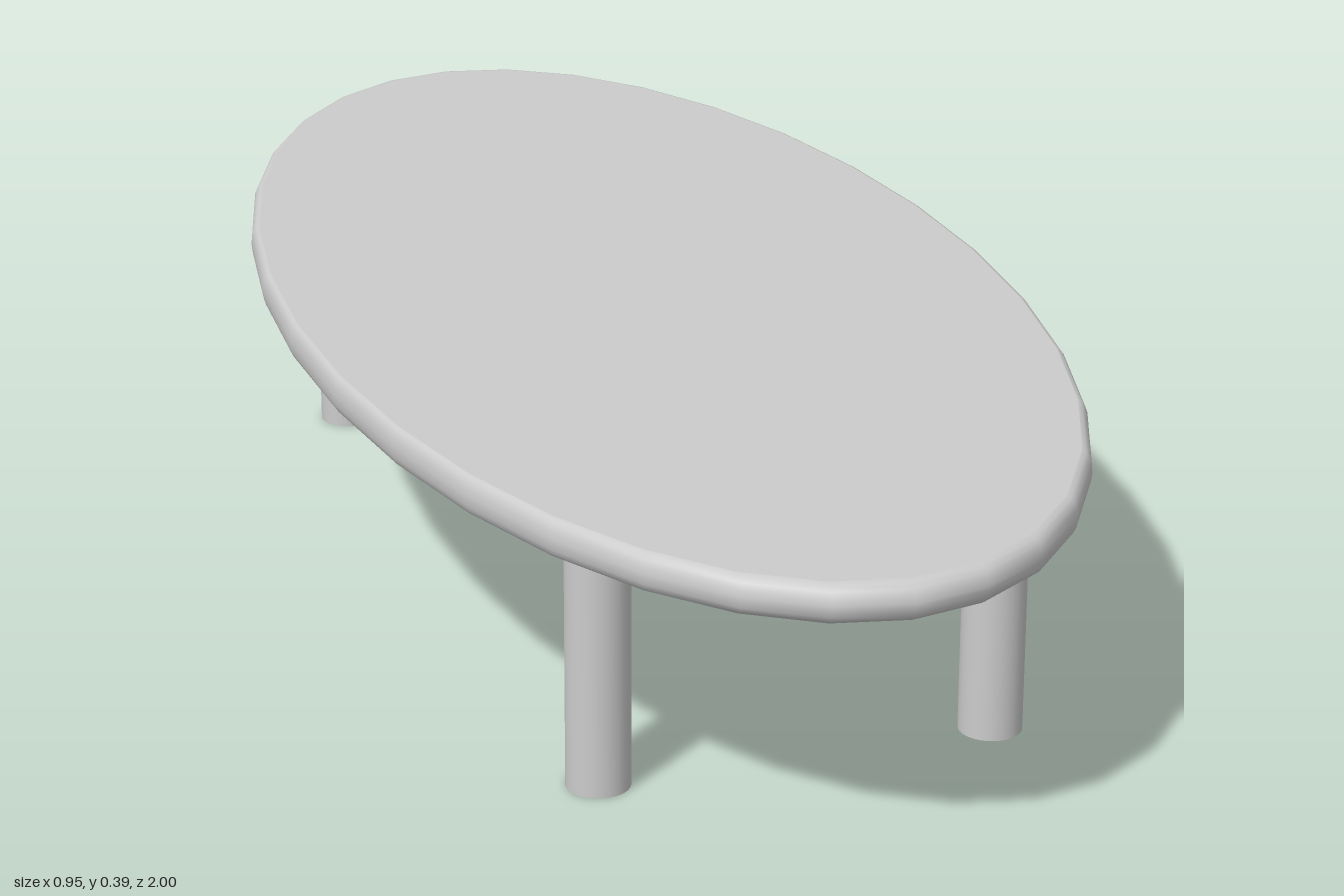
import * as THREE from 'three';
import { mergeGeometries } from 'three/addons/utils/BufferGeometryUtils.js';

const HALF_WIDTH = 0.475, BOTTOM = 0.342, TOP = 0.391, SIDES = 32;

export function createModel() {
  const table = new THREE.Group();
  table.name = 'ovalTable';
  const material = new THREE.MeshStandardMaterial({ color: 0xcccccc });

  // Oval top: a round slab with a soft rim, squeezed in x
  const round = 0.022, profile = [];
  for (let i = 0; i <= 4; i++) {
    const a = -Math.PI / 2 + (i / 4) * Math.PI / 2;
    profile.push(new THREE.Vector2(1 - round + round * Math.cos(a), BOTTOM + round + round * Math.sin(a)));
  }
  for (let i = 0; i <= 4; i++) {
    const a = (i / 4) * Math.PI / 2;
    profile.push(new THREE.Vector2(1 - round + round * Math.cos(a), TOP - round + round * Math.sin(a)));
  }
  const rim = new THREE.LatheGeometry(profile, SIDES);
  const face = (y, tilt) => new THREE.CircleGeometry(1 - round, SIDES).rotateX(tilt).translate(0, y, 0);
  const slab = mergeGeometries([rim, face(TOP, -Math.PI / 2), face(BOTTOM, Math.PI / 2)]);
  slab.scale(HALF_WIDTH, 1, 1);
  const tableTop = new THREE.Mesh(slab, material);
  tableTop.name = 'tableTop';
  table.add(tableTop);

  // Four straight round legs
  const legGeometry = new THREE.CylinderGeometry(0.04, 0.04, BOTTOM, SIDES).translate(0, BOTTOM / 2, 0);
  for (const [end, z] of [['front', 0.617], ['back', -0.617]]) {
    for (const [side, x] of [['Left', 0.253], ['Right', -0.253]]) {
      const leg = new THREE.Mesh(legGeometry, material);
      leg.name = `${end}${side}Leg`;
      leg.position.set(x, 0, z);
      table.add(leg);
    }
  }
  return table;
}
